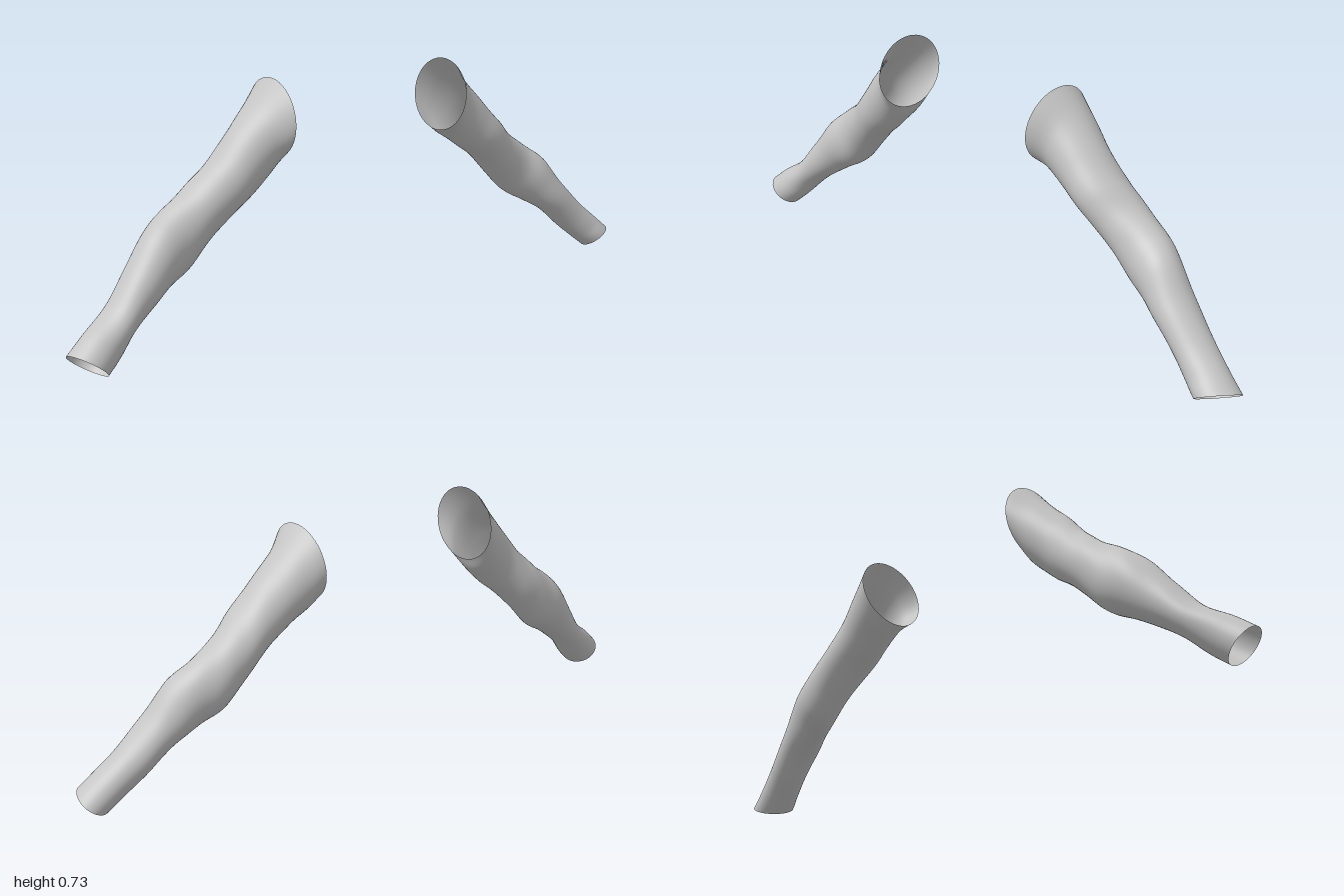
import * as THREE from 'three';

// Cross-sections from shoulder to cuff: [topX, topY, bottomX, bottomY, frontZ, backZ]
const LEFT = [
  [0.31, 0.727, 0.282, 0.505, 0.118, -0.125],
  [0.37, 0.665, 0.315, 0.482, 0.085, -0.112],
  [0.45, 0.583, 0.37, 0.445, 0.08, -0.095],
  [0.52, 0.513, 0.44, 0.397, 0.08, -0.092],
  [0.58, 0.46, 0.525, 0.32, 0.06, -0.095],
  [0.66, 0.405, 0.595, 0.252, 0.056, -0.09],
  [0.73, 0.355, 0.66, 0.215, 0.07, -0.07],
  [0.80, 0.265, 0.73, 0.175, 0.085, -0.05],
  [0.88, 0.182, 0.81, 0.105, 0.095, -0.03],
  [0.95, 0.12, 0.865, 0.057, 0.108, -0.01],
  [0.998, 0.078, 0.907, 0.024, 0.12, 0],
];
const RIGHT = [
  [0.33, 0.735, 0.325, 0.508, 0.122, -0.123],
  [0.395, 0.66, 0.345, 0.475, 0.09, -0.105],
  [0.47, 0.58, 0.40, 0.42, 0.08, -0.09],
  [0.53, 0.51, 0.46, 0.372, 0.072, -0.092],
  [0.59, 0.455, 0.53, 0.31, 0.056, -0.10],
  [0.66, 0.405, 0.60, 0.235, 0.053, -0.095],
  [0.73, 0.35, 0.67, 0.195, 0.065, -0.085],
  [0.80, 0.26, 0.735, 0.155, 0.075, -0.06],
  [0.87, 0.175, 0.81, 0.10, 0.09, -0.04],
  [0.945, 0.125, 0.86, 0.048, 0.105, -0.015],
  [0.999, 0.083, 0.91, 0.006, 0.12, 0],
];

// Open cloth tube lofted smoothly through the cross-sections
function sleeveGeometry(sections, side, cuffTilt) {
  const rings = 80, segs = 48;
  const curve = (f) => new THREE.CatmullRomCurve3(sections.map(f));
  const tops = curve((s) => new THREE.Vector3(s[0], s[1], 0));
  const bottoms = curve((s) => new THREE.Vector3(s[2], s[3], 0));
  const depths = curve((s, i) => new THREE.Vector3(s[4], s[5], i * 0.1));
  const positions = [], index = [];
  for (let i = 0; i <= rings; i++) {
    const t = i / rings;
    const top = tops.getPoint(t), bottom = bottoms.getPoint(t), d = depths.getPoint(t);
    const centre = top.clone().add(bottom).multiplyScalar(0.5);
    centre.z = (d.x + d.y) / 2;
    const up = top.clone().sub(bottom).multiplyScalar(0.5);
    // The cuff opening leans a little towards the front
    const lean = cuffTilt * THREE.MathUtils.smoothstep(t, 0.8, 1);
    const front = new THREE.Vector3(-lean, lean * 0.75, (d.x - d.y) / 2);
    const calm = Math.sin(Math.PI * t);
    for (let j = 0; j < segs; j++) {
      const a = (j / segs) * Math.PI * 2;
      // Soft folds, strongest around the elbow
      const fold = 1 + 0.018 * calm * Math.sin(t * 38 + 2 * Math.sin(a + 0.6)) * Math.sin(a * 2 + t * 5);
      const p = centre.clone()
        .addScaledVector(up, Math.cos(a) * fold)
        .addScaledVector(front, Math.sin(a) * fold);
      positions.push(p.x * side, p.y, p.z);
      if (i < rings) {
        const p0 = i * segs + j, p1 = i * segs + (j + 1) % segs;
        const q0 = p0 + segs, q1 = p1 + segs;
        if (side > 0) index.push(p0, p1, q0, p1, q1, q0);
        else index.push(p0, q0, p1, p1, q0, q1);
      }
    }
  }
  const geometry = new THREE.BufferGeometry();
  geometry.setAttribute('position', new THREE.Float32BufferAttribute(positions, 3));
  geometry.setIndex(index);
  geometry.computeVertexNormals();
  return geometry;
}

export function createModel() {
  const group = new THREE.Group();
  group.name = 'sleeves';
  const cloth = new THREE.MeshStandardMaterial({ color: 0xc4c4c4, side: THREE.DoubleSide });
  cloth.name = 'grey cloth';

  const left = new THREE.Mesh(sleeveGeometry(LEFT, 1, 0.02), cloth);
  left.name = 'leftSleeve';
  const right = new THREE.Mesh(sleeveGeometry(RIGHT, -1, 0.012), cloth);
  right.name = 'rightSleeve';
  group.add(left, right);
  return group;
}
